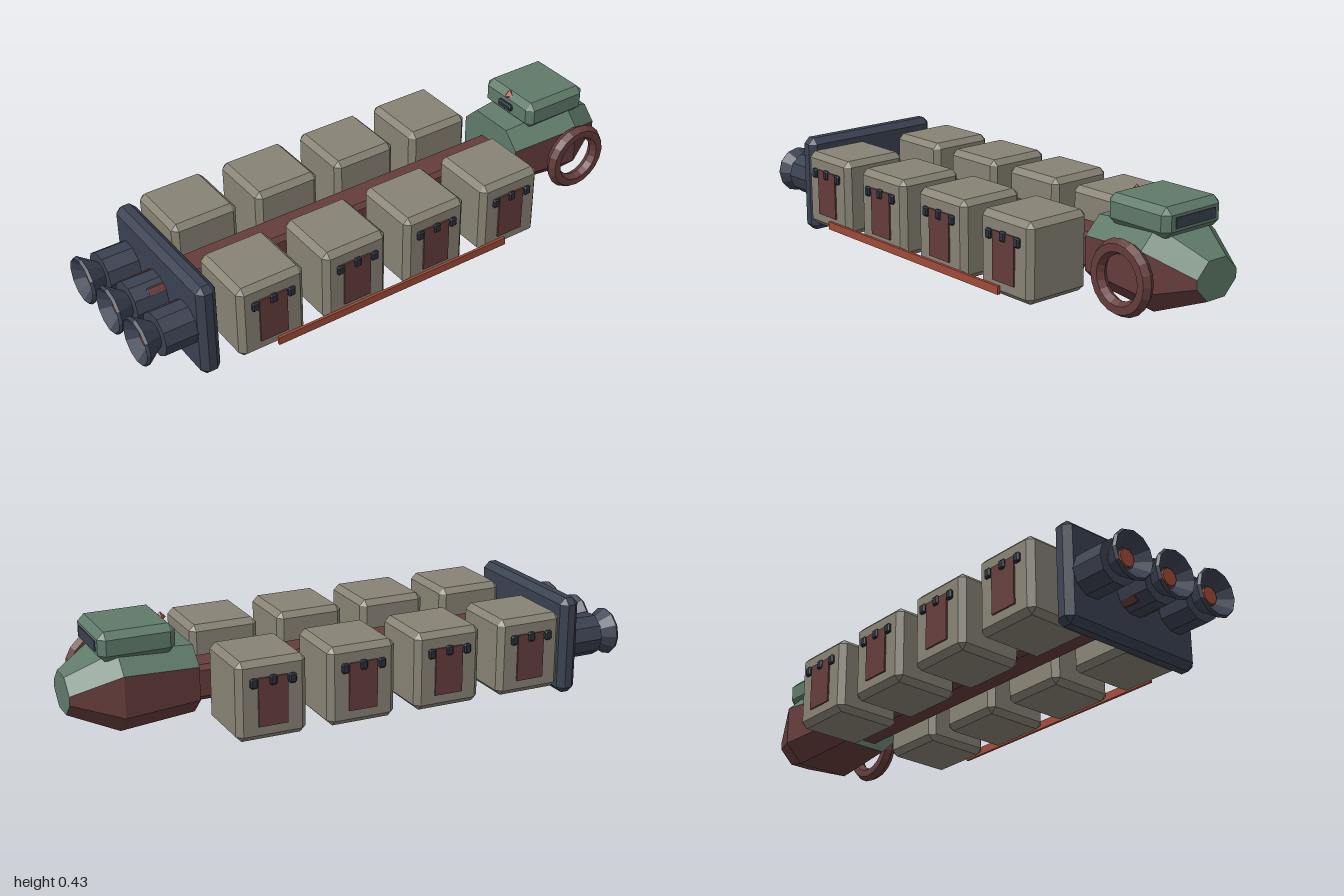
import * as THREE from 'three';
import { ConvexGeometry } from 'three/addons/geometries/ConvexGeometry.js';

const mat = (name, color, side = THREE.FrontSide) => {
  const m = new THREE.MeshStandardMaterial({ color, flatShading: true, side });
  m.name = name;
  return m;
};

// Box with all edges and corners chamfered
function chamferBox(w, h, d, c) {
  const pts = [];
  for (const sx of [-1, 1]) for (const sy of [-1, 1]) for (const sz of [-1, 1]) {
    const x = w / 2, y = h / 2, z = d / 2;
    pts.push(new THREE.Vector3(sx * x, sy * (y - c), sz * (z - c)));
    pts.push(new THREE.Vector3(sx * (x - c), sy * y, sz * (z - c)));
    pts.push(new THREE.Vector3(sx * (x - c), sy * (y - c), sz * z));
  }
  return new ConvexGeometry(pts);
}

// Octagonal hull section: x, centre y, half width, half height, bevel
function octagon([x, cy, hz, hy, b]) {
  return [
    [hz, b - hy], [hz, hy - b], [hz - b, hy], [b - hz, hy],
    [-hz, hy - b], [-hz, b - hy], [b - hz, -hy], [hz - b, -hy],
  ].map(([z, y]) => [x, cy + y, z]);
}

function meshFrom(triangles, material, name) {
  const g = new THREE.BufferGeometry();
  g.setAttribute('position', new THREE.Float32BufferAttribute(triangles.flat(), 3));
  g.computeVertexNormals();
  const m = new THREE.Mesh(g, material);
  m.name = name;
  return m;
}

export function createModel() {
  const root = new THREE.Group();
  root.name = 'cargoHauler';

  const tan = mat('container tan', 0x878274);
  const green = mat('hull green', 0x5f7a69);
  const maroon = mat('maroon', 0x653c3c);
  const navy = mat('navy', 0x3a4150, THREE.DoubleSide);
  const dark = mat('latch dark', 0x2c313c);
  const rust = mat('rust red', 0xa04a38);

  const add = (name, geo, material, x, y, z, parent = root) => {
    const m = new THREE.Mesh(geo, material);
    m.name = name;
    m.position.set(x, y, z);
    parent.add(m);
    return m;
  };

  // Spine, running through the engine plate into the hull
  add('spine', chamferBox(1.51, 0.124, 0.126, 0.016), maroon, -0.135, 0.18, 0);

  // Cargo containers, four on each side
  const boxGeo = chamferBox(0.248, 0.276, 0.255, 0.02);
  const panelGeo = new THREE.BoxGeometry(0.104, 0.168, 0.009);
  const latchGeo = chamferBox(0.026, 0.034, 0.016, 0.005);
  for (const side of [1, -1]) {
    for (let i = 0; i < 4; i++) {
      const c = new THREE.Group();
      c.name = 'container';
      c.position.set(-0.578 + i * 0.325, 0.195, side * 0.2055);
      add('containerBody', boxGeo, tan, 0, 0, 0, c);
      add('containerDoor', panelGeo, maroon, 0, -0.003, side * 0.129, c);
      for (const k of [-1, 0, 1]) {
        add('latch', latchGeo, dark, k * 0.068, k ? 0.066 : 0.07, side * 0.133, c);
      }
      root.add(c);
    }
  }

  // Pipe rail along one side
  add('sideRail', new THREE.BoxGeometry(0.942, 0.029, 0.01), rust, -0.094, 0.0785, 0.338);

  // Engine plate and three engines
  add('enginePlate', chamferBox(0.072, 0.357, 0.568, 0.022), navy, -0.78, 0.1785, 0);
  const engineGeo = new THREE.CylinderGeometry(0.078, 0.078, 0.13, 10).rotateZ(Math.PI / 2);
  const bellGeo = new THREE.LatheGeometry(
    [[0.045, 0], [0.086, 0.06], [0.08, 0.07], [0.036, 0.03], [0, 0.03]].map(
      ([r, h]) => new THREE.Vector2(r, h)), 12).rotateZ(Math.PI / 2);
  const glowGeo = new THREE.CylinderGeometry(0.03, 0.03, 0.008, 10).rotateZ(Math.PI / 2);
  for (const z of [-0.187, 0, 0.187]) {
    const e = new THREE.Group();
    e.name = 'engine';
    e.position.set(0, 0.18, z);
    add('engineBody', engineGeo, navy, -0.865, 0, 0, e);
    add('engineBell', bellGeo, navy, -0.93, 0, 0, e);
    add('engineGlow', glowGeo, rust, -0.965, 0, 0, e);
    root.add(e);
  }

  // Two-tone faceted hull: upper strips and end caps green, the rest maroon
  const rings = [
    [0.575, 0.213, 0.145, 0.118, 0.06],
    [0.84, 0.2165, 0.17, 0.1385, 0.067],
    [1.0, 0.2035, 0.09, 0.065, 0.05],
  ].map(octagon);
  const upper = [], lower = [];
  for (let r = 0; r < 2; r++) for (let k = 0; k < 8; k++) {
    const n = (k + 1) % 8;
    const a = rings[r][k], b = rings[r + 1][k], c = rings[r + 1][n], d = rings[r][n];
    (k >= 1 && k <= 3 ? upper : lower).push(...a, ...b, ...c, ...a, ...c, ...d);
  }
  for (let k = 1; k < 7; k++) {
    const nose = rings[2], back = rings[0];
    upper.push(...nose[0], ...nose[k + 1], ...nose[k]);
    upper.push(...back[0], ...back[k], ...back[k + 1]);
  }
  root.add(meshFrom(upper, green, 'hullUpper'), meshFrom(lower, maroon, 'hullLower'));

  // Bridge on top with its windows and beacon
  add('bridge', chamferBox(0.262, 0.1, 0.26, 0.023), green, 0.774, 0.376, 0);
  add('bridgeWindow', new THREE.BoxGeometry(0.008, 0.035, 0.176), navy, 0.905, 0.3765, 0);
  add('rearVent', chamferBox(0.024, 0.026, 0.07, 0.006), dark, 0.641, 0.375, 0);
  add('beacon', new THREE.OctahedronGeometry(0.02), rust, 0.655, 0.412, 0);

  // Docking ring beside the hull
  add('dockingRing', new THREE.TorusGeometry(0.1, 0.026, 6, 20), maroon, 0.803, 0.204, 0.212);

  return root;
}
